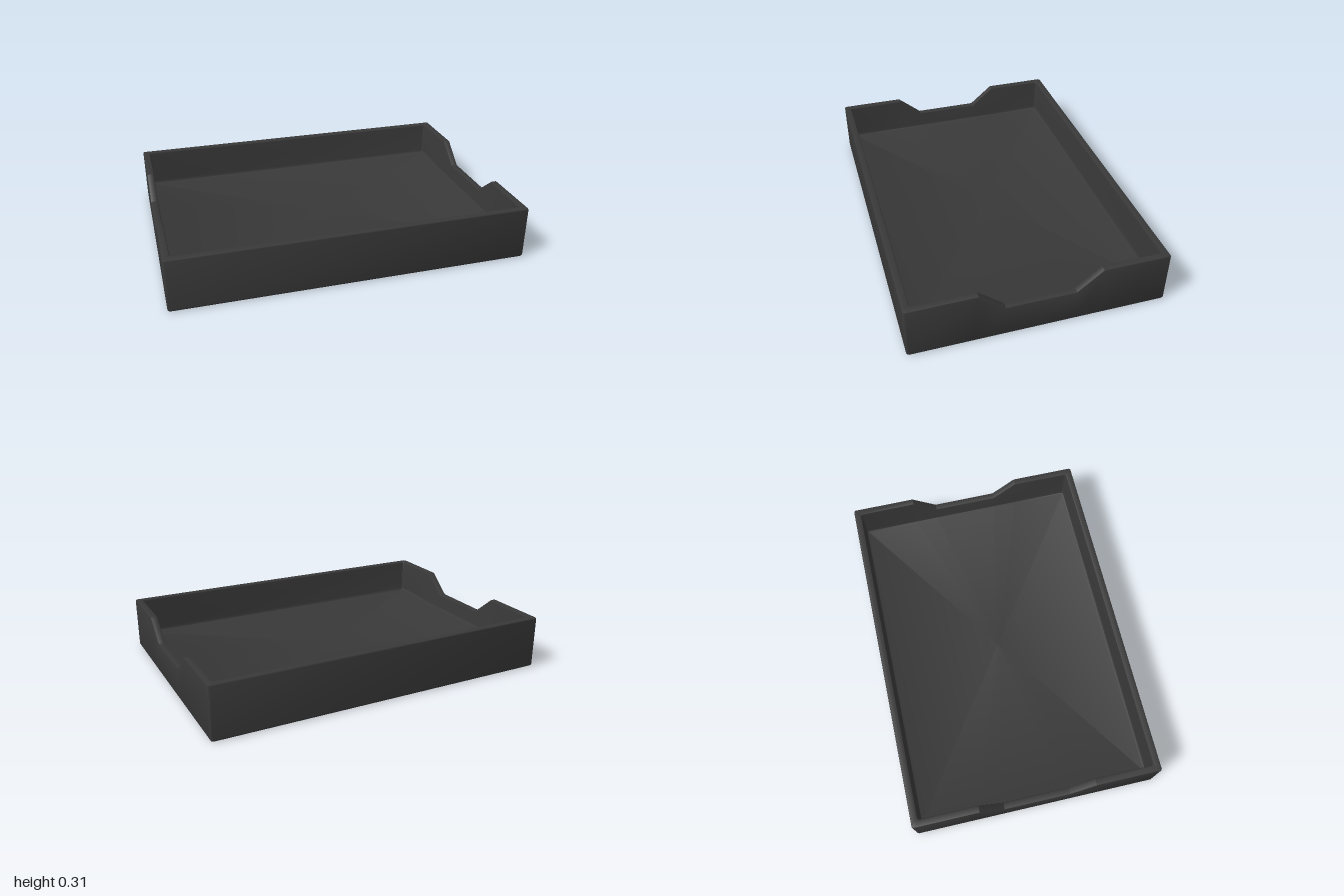
import * as THREE from 'three';
import { toCreasedNormals } from 'three/addons/utils/BufferGeometryUtils.js';

const HX = 1, HZ = 0.705, CORNER = 0.01;
const TOP = 0.306, NOTCH = 0.19;

// Plan outline stations [x, z, rim height], from front left corner along the left wall;
// the other half is the same turned by 180 degrees
function outline() {
  const corner = [
    [HX - CORNER, HZ, TOP],
    [HX - 0.3 * CORNER, HZ - 0.3 * CORNER, TOP],
    [HX, HZ - CORNER, TOP],
  ];
  const notch = [[HX, 0.33, TOP], [HX, 0.19, NOTCH]];
  const quarter = [...corner, ...notch];
  const half = [...quarter, ...quarter.map(([x, z, h]) => [x, -z, h]).reverse()];
  return [...half, ...half.map(([x, z, h]) => [-x, -z, h])];
}

// Wall section: [inset, height, measured from rim]; inset null is the centre
const section = [
  [null, 0], [0.012, 0], [0.004, 0.004], [0, 0.012],
  [0, -0.007, true], [0.002, -0.002, true], [0.007, 0, true],
  [0.033, 0, true], [0.038, -0.002, true], [0.04, -0.007, true],
  [0.04, 0.108], [0.044, 0.096], [0.055, 0.09], [null, 0.09],
];

function point([x, z, h], [inset, y, fromRim]) {
  const height = fromRim ? h + y : y;
  if (inset === null) return [0, height, 0];
  // Only points at the corners move along z, so the notch stays straight
  const dz = Math.abs(z) > 0.5 ? inset : 0;
  return [x - Math.sign(x) * inset, height, z - Math.sign(z) * dz];
}

function trayGeometry() {
  const stations = outline(), n = stations.length;
  const positions = [];
  for (let j = 0; j < section.length - 1; j++) {
    for (let i = 0; i < n; i++) {
      const next = stations[(i + 1) % n];
      const a = point(stations[i], section[j]), b = point(next, section[j]);
      const c = point(next, section[j + 1]), d = point(stations[i], section[j + 1]);
      if (section[j][0] !== null) positions.push(...a, ...b, ...(section[j + 1][0] === null ? d : c));
      if (section[j + 1][0] !== null) positions.push(...a, ...c, ...d);
    }
  }
  const geometry = new THREE.BufferGeometry();
  geometry.setAttribute('position', new THREE.Float32BufferAttribute(positions, 3));
  return toCreasedNormals(geometry, 0.5);
}

export function createModel() {
  const group = new THREE.Group();
  group.name = 'tray';
  // Open tray with bevelled rim, filleted floor and a hand notch at each end
  const tray = new THREE.Mesh(trayGeometry(), new THREE.MeshStandardMaterial({ color: 0x383838 }));
  tray.name = 'trayBody';
  group.add(tray);
  return group;
}
